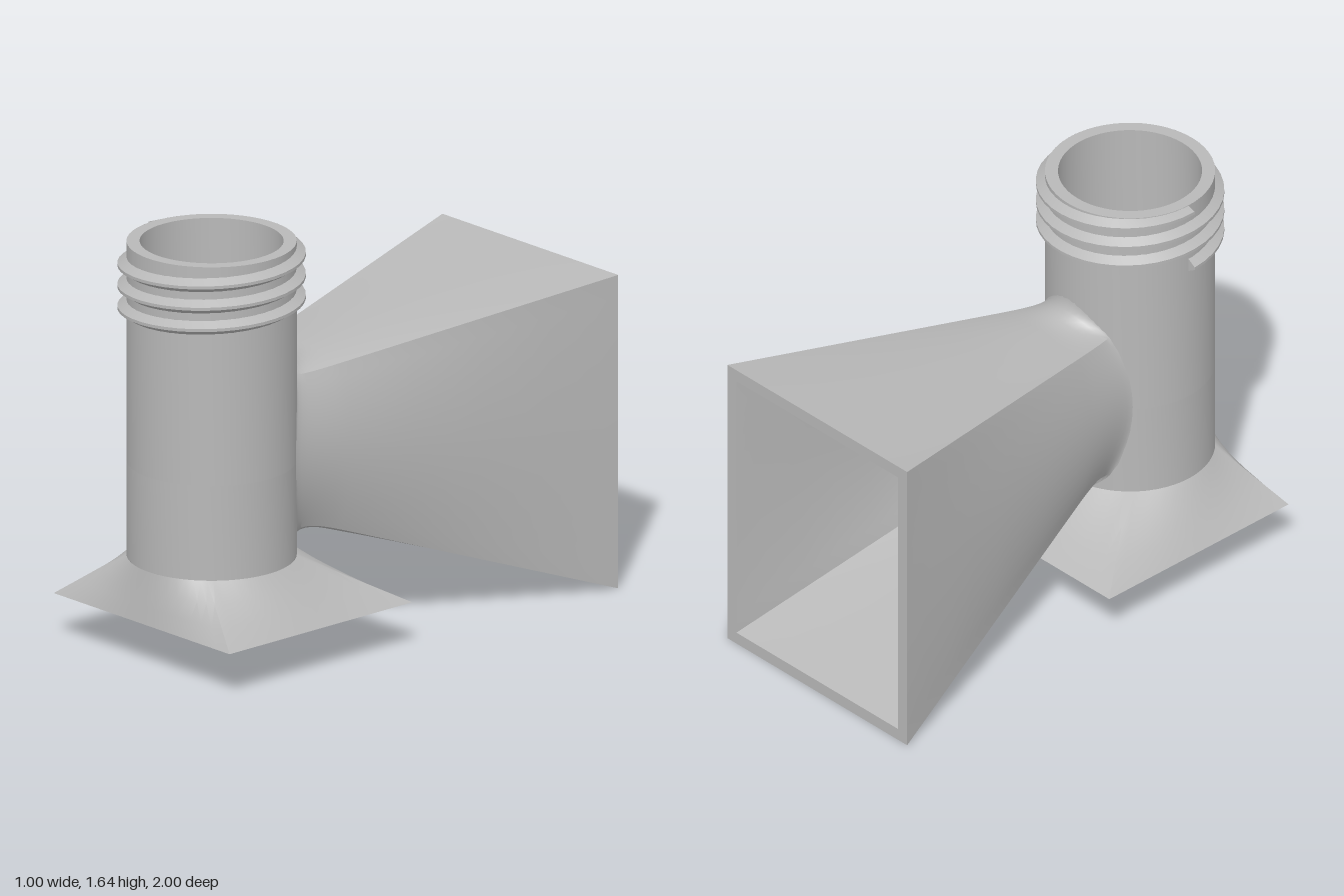
import * as THREE from 'three';
import { toCreasedNormals } from 'three/addons/utils/BufferGeometryUtils.js';

const V = (x, y, z) => new THREE.Vector3(x, y, z);
const CZ = 0.64, R_OUT = 0.325, R_IN = 0.275;   // pipe axis and radii
const Y_LOW = 0.38, Y_TOP = 1.64;               // pipe ends
const HOLE = { y: 0.76, rx: 0.19, ry: 0.3 };    // opening from pipe into horn

// Skins a list of rings with equal point counts.
function loft(rings, closed = true, crease = 0.5) {
  const n = rings[0].length, index = [];
  for (let i = 0; i < rings.length - 1; i++) {
    for (let j = 0; j < (closed ? n : n - 1); j++) {
      const a = i * n + j, b = i * n + (j + 1) % n;
      index.push(a, a + n, b, b, a + n, b + n);
    }
  }
  const geo = new THREE.BufferGeometry().setFromPoints(rings.flat());
  geo.setIndex(index);
  return toCreasedNormals(geo, crease);
}

// Points round the unit square, corners included.
const SQUARE = [];
const PER_SIDE = 14;
for (let side = 0; side < 4; side++) {
  for (let k = 0; k < PER_SIDE; k++) {
    const t = -1 + 2 * k / PER_SIDE;
    SQUARE.push([[1, t], [-t, 1], [-1, -t], [t, -1]][side]);
  }
}

// Front surface of the horn side of a cylinder of radius r.
const onPipe = (x, r) => CZ - Math.sqrt(r * r - x * x);

// Straight horn section: s = 0 at the mouth, 1 near the pipe, inset by the wall.
function hornPoint([u, v], s, inset) {
  const mix = (a, b) => a + (b - a) * s;
  const hx = mix(0.5, 0.215) + 0.06 * s * (1 - v * v) - inset;
  const hy = mix(0.63, 0.335) + 0.025 * s * (1 - u * u) - inset;
  return V(u * hx, mix(0.63, 0.762) + v * hy, mix(-1, 0.17));
}

// Ends of the horn on the pipe, as an ellipse.
function hornEnd([u, v], rx, ry, r) {
  const a = Math.atan2(v, u), x = rx * Math.cos(a);
  return V(x, HOLE.y + ry * Math.sin(a), onPipe(x, r));
}

function hornGeometry() {
  const rings = [];
  // Outer fillet: each point bends from the horn wall onto the pipe.
  for (let k = 0; k < 9; k++) {
    const t = 1 - k / 8;
    rings.push(SQUARE.map(p => {
      const start = hornPoint(p, 1, 0), mouth = hornPoint(p, 0, 0);
      const end = hornEnd(p, 0.25, 0.465, R_OUT - 0.002);
      const ctrl = start.clone().add(start.clone().sub(mouth)
        .multiplyScalar((end.z - start.z) / 1.17));
      return new THREE.QuadraticBezierCurve3(start, ctrl, end).getPoint(t);
    }));
  }
  // Outer wall, mouth rim and inner wall.
  for (const s of [0.75, 0.5, 0.25, 0]) rings.push(SQUARE.map(p => hornPoint(p, s, 0)));
  for (const s of [0, 0.25, 0.5, 0.75, 1]) rings.push(SQUARE.map(p => hornPoint(p, s, 0.05)));
  rings.push(SQUARE.map(p => hornEnd(p, HOLE.rx, HOLE.ry, R_IN)));
  return loft(rings);
}

// Square flange rising to the round pipe, hollow below.
function baseGeometry() {
  const circle = r => SQUARE.map(([u, v]) => {
    const a = Math.atan2(v, u);
    return V(r * Math.cos(a), Y_LOW, CZ - r * Math.sin(a));
  });
  const rect = (hx, back, front) => SQUARE.map(([u, v]) =>
    V(u * hx, 0.18, (back + front) / 2 - v * (front - back) / 2));
  const blend = (a, b, t) => a.map((p, i) => p.clone().lerp(b[i], t));
  const top = circle(R_OUT), foot = rect(0.5, 0.06, 1);
  const inFoot = rect(0.255, 0.32, 0.895), inTop = circle(R_IN);
  return loft([top, blend(top, foot, 0.33), blend(top, foot, 0.67), foot,
    inFoot, blend(inFoot, inTop, 0.5), inTop]);
}

// Cylinder wall split above and below the horn opening.
function pipeWalls(r, inward) {
  const h = Math.asin(HOLE.rx / r), angles = [];
  for (let k = 0; k <= 16; k++) angles.push(-Math.PI / 2 - h + 2 * h * k / 16);
  for (let k = 1; k <= 40; k++) {
    angles.push(-Math.PI / 2 + h + (2 * Math.PI - 2 * h) * k / 40);
  }
  return [-1, 1].map(part => loft(angles.map((a, i) => {
    const x = -r * Math.cos(a), z = CZ + r * Math.sin(a);
    const gap = i <= 16 ? HOLE.ry * Math.sqrt(Math.max(0, 1 - (x / HOLE.rx) ** 2)) : 0;
    const edge = HOLE.y + part * gap;
    const ends = part < 0 ? [V(x, Y_LOW, z), V(x, edge, z)] : [V(x, edge, z), V(x, Y_TOP, z)];
    return inward ? ends.reverse() : ends;
  }), false));
}

// Three-turn screw thread with closed ends.
function threadGeometry() {
  const TURNS = 3, STEPS = 40 * TURNS;
  const section = [[0.318, -0.032], [0.36, -0.006], [0.36, 0.006], [0.318, 0.032]];
  const ringAt = (k, profile) => {
    const t = k / STEPS, a = t * TURNS * 2 * Math.PI, y = 1.365 + 0.257 * t;
    return profile.map(([r, dy]) =>
      V(-r * Math.cos(a), Math.min(y + dy, Y_TOP), CZ + r * Math.sin(a)));
  };
  const point = section.map(() => [0.335, 0]);
  const rings = [ringAt(0, point)];
  for (let k = 0; k <= STEPS; k++) rings.push(ringAt(k, section));
  rings.push(ringAt(STEPS, point));
  return loft(rings);
}

export function createModel() {
  const group = new THREE.Group();
  const grey = new THREE.MeshStandardMaterial({ color: 0xb8b8b8, side: THREE.DoubleSide });
  grey.name = 'plain grey';
  const add = (name, geo) => {
    const mesh = new THREE.Mesh(geo, grey);
    mesh.name = name;
    group.add(mesh);
    return mesh;
  };

  add('baseFlange', baseGeometry());
  pipeWalls(R_OUT, false).forEach((g, i) => add(['pipeLower', 'pipeUpper'][i], g));
  pipeWalls(R_IN, true).forEach((g, i) => add(['boreLower', 'boreUpper'][i], g));

  const rim = add('pipeRim', new THREE.RingGeometry(R_IN, R_OUT, 56));
  rim.rotation.x = -Math.PI / 2;
  rim.position.set(0, Y_TOP, CZ);

  add('screwThread', threadGeometry());
  add('horn', hornGeometry());
  return group;
}
